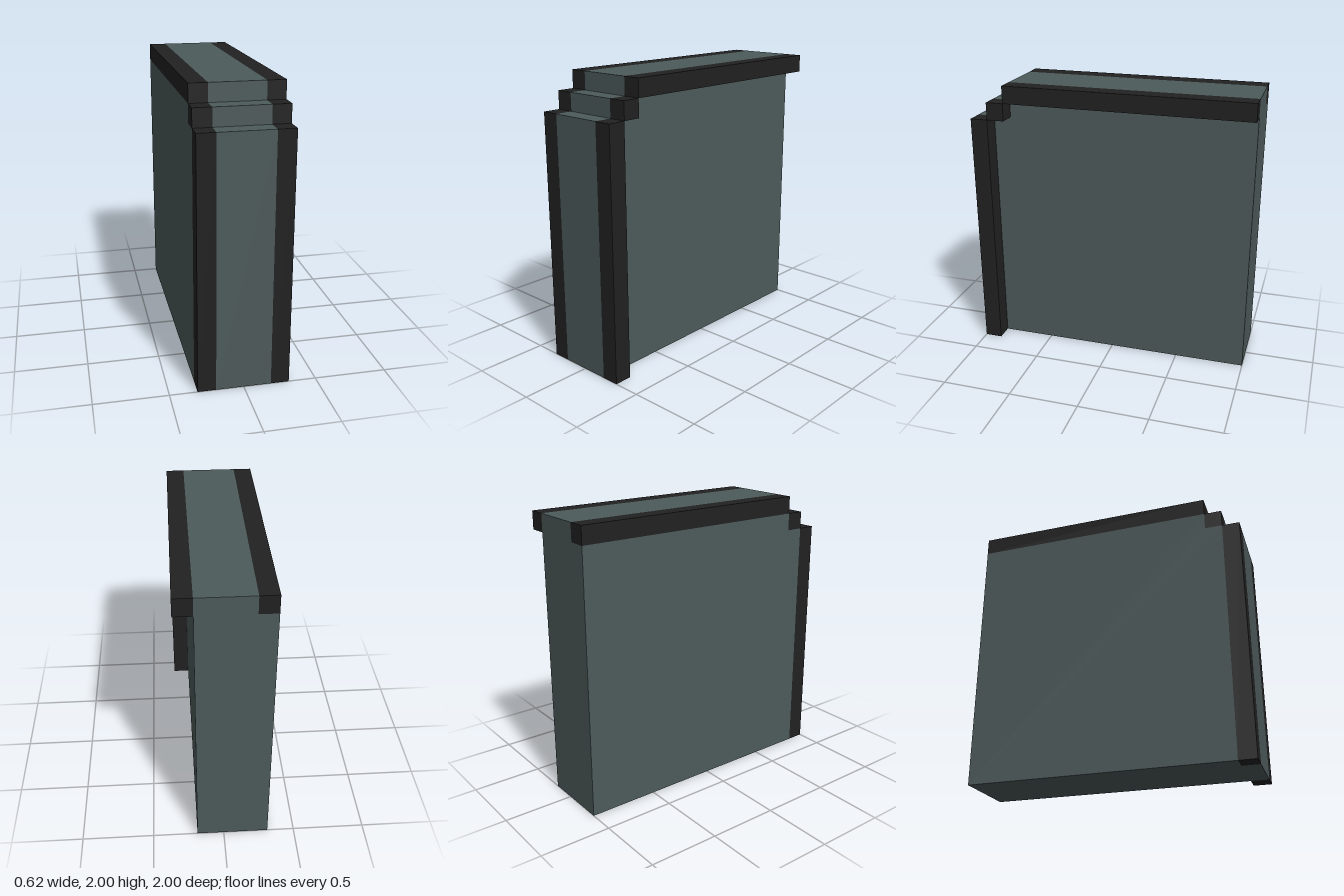
import * as THREE from 'three';

const U = 0.125; // one block unit

// Extrudes a [z, y] outline across x from x0 to x1
function slab(name, outline, x0, x1, material) {
  const shape = new THREE.Shape(outline.map(([z, y]) => new THREE.Vector2(z, y)));
  const geometry = new THREE.ExtrudeGeometry(shape, { depth: x1 - x0, bevelEnabled: false });
  geometry.rotateY(-Math.PI / 2);
  geometry.translate(x1, 0, 0);
  const mesh = new THREE.Mesh(geometry, material);
  mesh.name = name;
  return mesh;
}

export function createModel() {
  const slate = new THREE.MeshStandardMaterial({ color: 0x4d5a5a });
  slate.name = 'slate';
  const charcoal = new THREE.MeshStandardMaterial({ color: 0x212121 });
  charcoal.name = 'charcoal';

  const group = new THREE.Group();
  group.name = 'steppedWallPanel';

  // Full-height centre with the stepped top front corner
  const centre = [
    [-1, 0], [1, 0], [1, 2 - 2 * U], [1 - U, 2 - 2 * U], [1 - U, 2 - U],
    [1 - 2 * U, 2 - U], [1 - 2 * U, 2], [-1, 2],
  ];
  group.add(slab('centreSlab', centre, -1.5 * U, 1.5 * U, slate));

  // Side panel behind the trim, on one side only
  const panel = [
    [-1, 0], [1 - U, 0], [1 - U, 2 - 2 * U], [1 - 2 * U, 2 - 2 * U],
    [1 - 2 * U, 2 - U], [-1, 2 - U],
  ];
  group.add(slab('sidePanel', panel, -2.5 * U, -1.5 * U, slate));

  // Dark trim on both edges: front post, corner block, top rail
  const trim = [
    ['frontPost', 1 - U, 1, 0, 2 - 2 * U],
    ['cornerBlock', 1 - 2 * U, 1 - U, 2 - 2 * U, 2 - U],
    ['topRail', -1, 1 - 2 * U, 2 - U, 2],
  ];
  for (const side of [-1, 1]) {
    for (const [name, z0, z1, y0, y1] of trim) {
      const mesh = new THREE.Mesh(new THREE.BoxGeometry(U, y1 - y0, z1 - z0), charcoal);
      mesh.position.set(side * 2 * U, (y0 + y1) / 2, (z0 + z1) / 2);
      mesh.name = (side > 0 ? 'left_' : 'right_') + name;
      group.add(mesh);
    }
  }
  return group;
}
